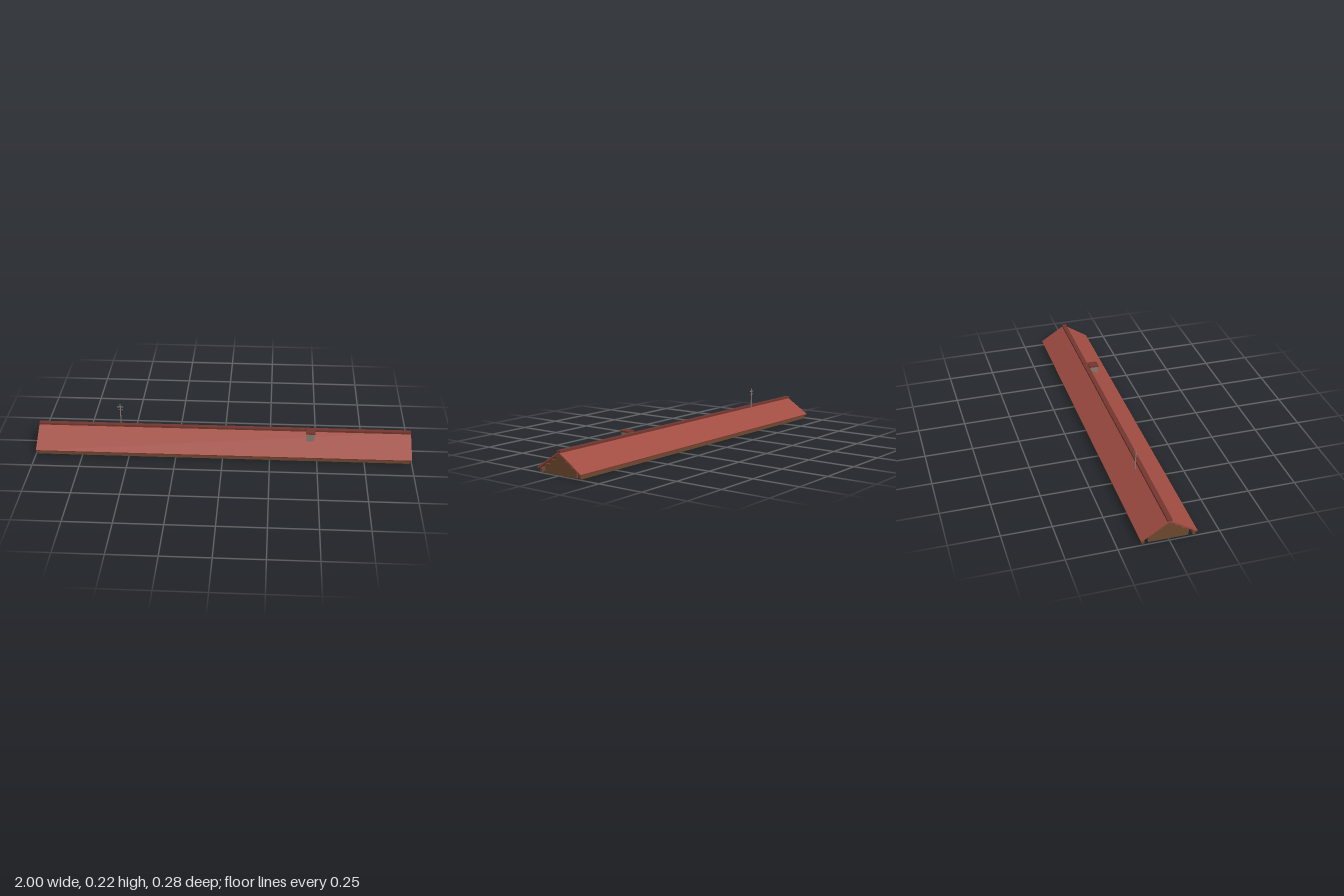
import * as THREE from 'three';

export function createModel() {
  const model = new THREE.Group();
  const mat = (name, color) => {
    const m = new THREE.MeshStandardMaterial({ color });
    m.name = name;
    return m;
  };
  const tile = mat('roof tile red', 0xa04c42);
  const ridgeRed = mat('dark ridge red', 0x74372f);
  const timber = mat('brown timber', 0x6e482e);
  const stone = mat('warm grey', 0x857b71);

  // Box given by its min and max corners
  const box = (name, material, [x0, y0, z0], [x1, y1, z1], parent = model) => {
    const mesh = new THREE.Mesh(new THREE.BoxGeometry(x1 - x0, y1 - y0, z1 - z0), material);
    mesh.position.set((x0 + x1) / 2, (y0 + y1) / 2, (z0 + z1) / 2);
    mesh.name = name;
    parent.add(mesh);
    return mesh;
  };

  // Extrude a (z, y) outline along x, from x0 to x1
  const extrudeX = (name, material, points, x0, x1) => {
    const shape = new THREE.Shape(points.map(([z, y]) => new THREE.Vector2(-z, y)));
    const geo = new THREE.ExtrudeGeometry(shape, { depth: x1 - x0, bevelEnabled: false });
    geo.rotateY(Math.PI / 2);
    geo.translate(x0, 0, 0);
    const mesh = new THREE.Mesh(geo, material);
    mesh.name = name;
    model.add(mesh);
  };

  // Two roof slopes, open underneath, and the ridge cap
  for (const [name, s] of [['frontRoofSlope', 1], ['backRoofSlope', -1]]) {
    extrudeX(name, tile, [[0, 0.115], [s * 0.14, 0.025], [s * 0.137, 0.019], [0, 0.107]], -1, 1);
  }
  box('ridgeCap', ridgeRed, [-1, 0.11, -0.012], [1, 0.121, 0.012]);

  // Eave beams under both slopes
  for (const s of [1, -1]) {
    box('eaveBeam', timber, [-0.99, 0, s * 0.125 - 0.007], [0.99, 0.021, s * 0.125 + 0.007]);
  }

  // Stepped gable walls at both ends
  const steps = [[0.1, 0.044], [0.066, 0.068], [0.032, 0.09], [0.007, 0.108]];
  const half = [];
  let y = 0;
  for (const [z, top] of steps) {
    half.push([z, y], [z, top]);
    y = top;
  }
  const outline = [...half, ...half.map(([z, h]) => [-z, h]).reverse()];
  extrudeX('leftGable', timber, outline, 0.973, 0.987);
  extrudeX('rightGable', timber, outline, -0.987, -0.973);

  // Chimney passing through the front slope
  const chimney = new THREE.Group();
  chimney.name = 'chimney';
  box('chimneyStack', stone, [0.444, 0.025, 0.017], [0.485, 0.122, 0.058], chimney);
  box('chimneyCap', ridgeRed, [0.439, 0.122, 0.012], [0.49, 0.13, 0.064], chimney);
  model.add(chimney);

  // Aerial above the back slope
  const aerial = new THREE.Group();
  aerial.name = 'aerial';
  box('mast', stone, [-0.5625, 0.112, -0.0315], [-0.5575, 0.225, -0.0265], aerial);
  for (const [h, r] of [[0.208, 0.018], [0.191, 0.013]]) {
    box('crossbar', stone, [-0.56 - r, h - 0.0015, -0.0305], [-0.56 + r, h + 0.0015, -0.0275], aerial);
  }
  model.add(aerial);

  return model;
}
